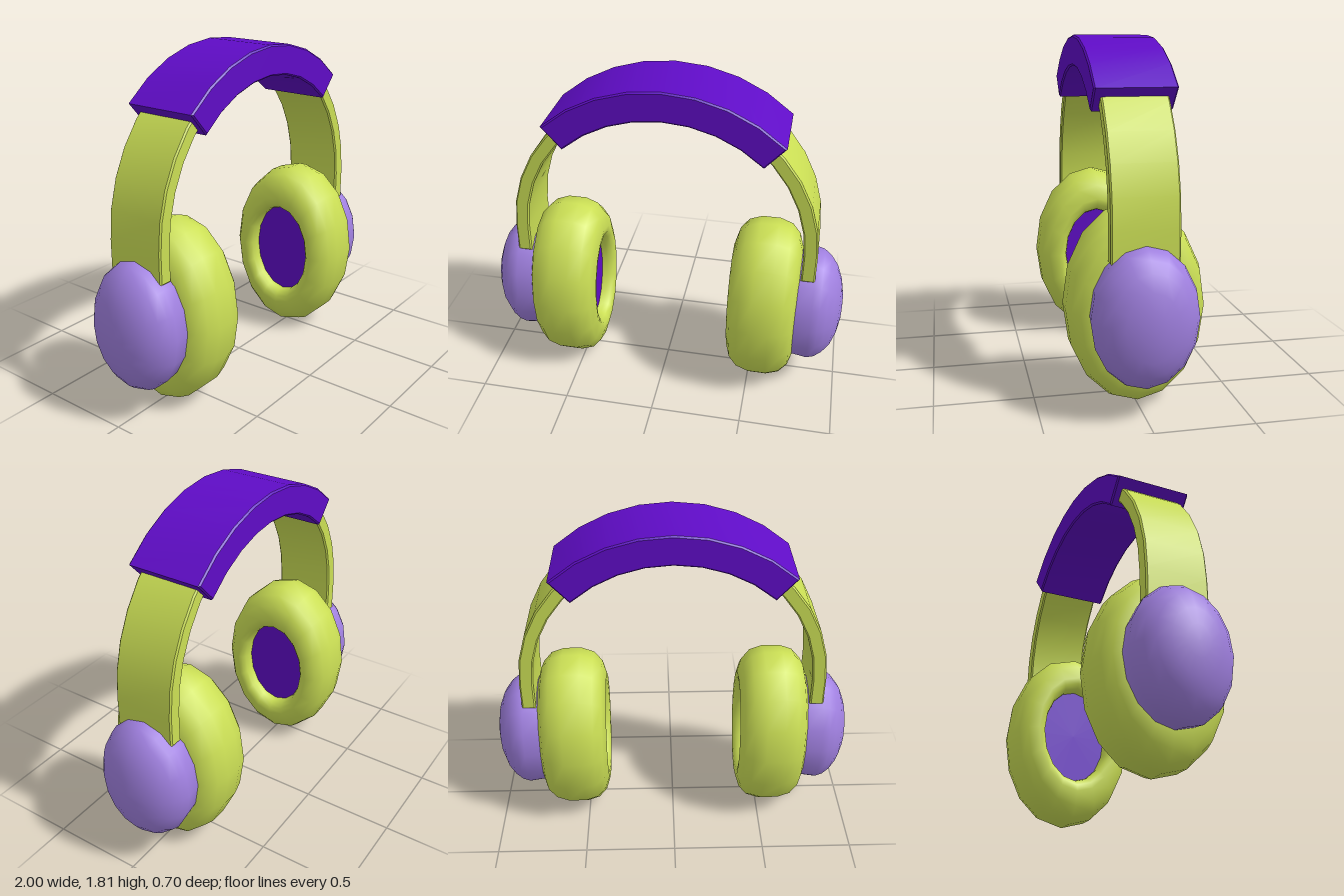
import * as THREE from 'three';
import { toCreasedNormals } from 'three/addons/utils/BufferGeometryUtils.js';

const lime = new THREE.MeshStandardMaterial({ name: 'lime', color: 0xcbdf55 });
const violet = new THREE.MeshStandardMaterial({ name: 'violet', color: 0x5f0cc6 });
const lilac = new THREE.MeshStandardMaterial({ name: 'lilac', color: 0xa080e0 });

function part(name, geometry, material) {
  const mesh = new THREE.Mesh(geometry, material);
  mesh.name = name;
  return mesh;
}

// Oval solid turned about the x axis; profile holds [radius, x] pairs
function turned(profile, depthScale) {
  const g = new THREE.LatheGeometry(profile.map(([r, x]) => new THREE.Vector2(r, x)), 16);
  g.rotateZ(-Math.PI / 2);
  g.scale(1, 1, depthScale);
  g.translate(0, 0.505, 0);
  return toCreasedNormals(g, 0.95);
}

// Curved strap: an arch outline extruded along z; legs run down to footY if given
function arch({ cy, rx, ry, thick, from, to, steps, depth, footY }) {
  const bevel = 0.008;
  const edge = (offset) => {
    const pts = [];
    for (let i = 0; i <= steps; i++) {
      const a = from + (to - from) * i / steps;
      pts.push(new THREE.Vector2((rx + offset) * Math.cos(a), cy + (ry + offset) * Math.sin(a)));
    }
    if (footY !== undefined) {
      pts.unshift(new THREE.Vector2(rx + offset, footY));
      pts.push(new THREE.Vector2(-rx - offset, footY));
    }
    return pts;
  };
  const half = thick / 2 - bevel;
  const shape = new THREE.Shape([...edge(half), ...edge(-half).reverse()]);
  const g = new THREE.ExtrudeGeometry(shape, {
    depth: depth - 2 * bevel, bevelEnabled: true, bevelSize: bevel, bevelThickness: bevel, bevelSegments: 1,
  });
  g.translate(0, 0, -depth / 2 + bevel);
  return toCreasedNormals(g, 0.6);
}

function earCup(name) {
  const cup = new THREE.Group();
  cup.name = name;
  // Padded ring with a recessed opening towards the head
  cup.add(part('cushion', turned([
    [0.27, 0.47], [0.27, 0.42], [0.28, 0.395], [0.305, 0.376], [0.34, 0.372], [0.42, 0.395], [0.475, 0.44],
    [0.5, 0.51], [0.5, 0.61], [0.475, 0.68], [0.42, 0.727], [0.34, 0.75], [0, 0.75],
  ], 0.7), lime));
  cup.add(part('speakerCover', turned([[0, 0.45], [0.275, 0.45]], 0.7), violet));
  // Domed outer shell
  cup.add(part('outerShell', turned([
    [0.335, 0.74], [0.35, 0.83], [0.337, 0.87], [0.305, 0.91], [0.25, 0.95], [0.17, 0.98], [0.08, 0.996], [0, 1],
  ], 0.757), lilac));
  return cup;
}

export function createModel() {
  const model = new THREE.Group();
  model.name = 'headphones';

  const leftCup = earCup('leftEarCup');
  const rightCup = earCup('rightEarCup');
  rightCup.rotation.y = Math.PI;
  model.add(leftCup, rightCup);

  model.add(part('headband', arch({
    cy: 0.93, rx: 0.792, ry: 0.81, thick: 0.076, from: 0, to: Math.PI, steps: 17, depth: 0.336, footY: 0.775,
  }), lime));

  const spread = 0.738;
  model.add(part('headbandPad', arch({
    cy: 0.895, rx: 0.84, ry: 0.84, thick: 0.16, from: Math.PI / 2 - spread, to: Math.PI / 2 + spread, steps: 8, depth: 0.414,
  }), violet));

  return model;
}
